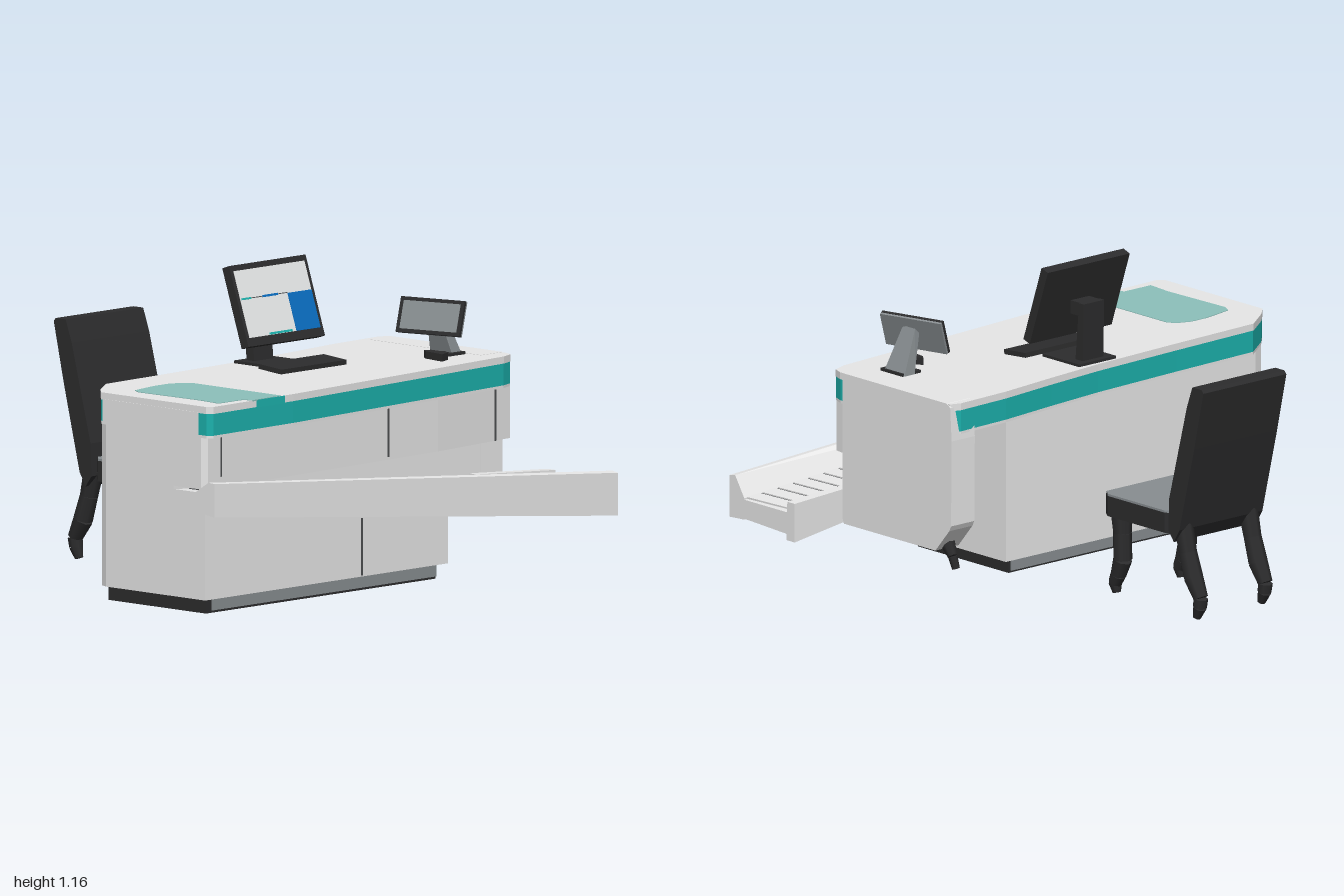
import * as THREE from 'three';
import { ConvexGeometry } from 'three/addons/geometries/ConvexGeometry.js';

const mat = (name, color) => {
  const m = new THREE.MeshStandardMaterial({ color });
  m.name = name;
  return m;
};
const lerp = THREE.MathUtils.lerp;

export function createModel() {
  const white = mat('white laminate', 0xffffff);
  const teal = mat('teal trim', 0x1cb2ad);
  const paleTeal = mat('pale teal inlay', 0x8cc0bb);
  const black = mat('black plastic', 0x2c2c2d);
  const grey = mat('grey fabric', 0x888e91);
  const line = mat('dark seam', 0x4c4e50);
  const screenMat = mat('screen', 0xf6f8f8);
  const blue = mat('blue panel', 0x0a6cbe);

  const root = new THREE.Group();
  root.name = 'receptionDesk';
  const group = (name, parent = root) => {
    const g = new THREE.Group();
    g.name = name;
    parent.add(g);
    return g;
  };
  const add = (name, geo, m, parent = root) => {
    const mesh = new THREE.Mesh(geo, m);
    mesh.name = name;
    parent.add(mesh);
    return mesh;
  };
  // Box given by its centre and size
  const box = (name, m, [x, y, z], [w, h, d], parent) => {
    const b = add(name, new THREE.BoxGeometry(w, h, d), m, parent);
    b.position.set(x, y, z);
    return b;
  };
  const shapeOf = pts => new THREE.Shape(pts.map(p => new THREE.Vector2(p[0], p[1])));
  // Plan outline [x, z] raised from y0 to y1
  const prism = (pts, y0, y1) => new THREE.ExtrudeGeometry(shapeOf(pts.map(([x, z]) => [x, -z])),
    { depth: y1 - y0, bevelEnabled: false }).rotateX(-Math.PI / 2).translate(0, y0, 0);
  // Side outline [z, y] widened from x0 to x1
  const sideSlab = (pts, x0, x1) => new THREE.ExtrudeGeometry(shapeOf(pts),
    { depth: x1 - x0, bevelEnabled: false }).rotateY(-Math.PI / 2).translate(x1, 0, 0);
  // Convex solid between two [z, y] sections
  const loft = (x0, a, x1, b) => new ConvexGeometry([
    ...a.map(([z, y]) => new THREE.Vector3(x0, y, z)),
    ...b.map(([z, y]) => new THREE.Vector3(x1, y, z))]);
  // Jointed limb through points [x, y, z, radius]
  const limb = (name, pts, m, parent) => {
    const g = group(name, parent);
    for (let i = 1; i < pts.length; i++) {
      const a = new THREE.Vector3(...pts[i - 1].slice(0, 3));
      const b = new THREE.Vector3(...pts[i].slice(0, 3));
      const d = b.clone().sub(a);
      const s = add(name + 'Segment', new THREE.CylinderGeometry(pts[i][3], pts[i - 1][3], d.length(), 7), m, g);
      s.position.copy(a).add(b).multiplyScalar(0.5);
      s.quaternion.setFromUnitVectors(new THREE.Vector3(0, 1, 0), d.normalize());
    }
  };

  // Desk top: teal edge under a white cap
  const top = group('deskTop');
  const outline = [[-0.95, 0.10], [-0.90, 0.05], [-0.79, -0.03], [-0.4, -0.045], [0, -0.065], [0.25, -0.09],
    [0.5, -0.12], [0.73, -0.13], [0.77, -0.115], [0.77, 0.48], [0.755, 0.52], [0.7, 0.54], [-0.5, 0.635],
    [-0.93, 0.648], [-0.95, 0.63]];
  const inset = outline.map(([x, z]) => [x * 0.998 - 0.0002, (z - 0.26) * 0.996 + 0.26]);
  add('underside', prism(inset, 0.67, 0.68), white, top);
  add('tealEdge', prism(inset, 0.68, 0.76), teal, top);
  add('topCap', prism(outline, 0.76, 0.786), white, top);
  box('endCover', white, [-0.949, 0.72, 0.35], [0.006, 0.085, 0.48], top);
  add('inlay', prism([[-0.86, 0.20], [-0.84, 0.165], [-0.77, 0.15], [-0.71, 0.14], [-0.64, 0.14], [-0.59, 0.16],
    [-0.565, 0.19], [-0.565, 0.636], [-0.72, 0.642], [-0.73, 0.605], [-0.86, 0.605], [-0.85, 0.5]], 0.783, 0.788),
  paleTeal, top);
  box('inlayDrop', teal, [-0.64, 0.772, 0.638], [0.18, 0.028, 0.006], top);

  // Cabinet with a niche for the tray, knee-space wall and end block
  const body = group('cabinet');
  const rear = [[-0.945, 0.12], [-0.93, 0.085], [-0.89, 0.07], [0.33, 0.07]];
  add('cabinetCore', prism([...rear, [0.33, 0.46], [-0.945, 0.46]], 0.075, 0.48), white, body);
  add('upperPanel', prism([...rear, [0.33, 0.43], [0.67, 0.43], [0.76, 0.455], [0.75, 0.522], [0.33, 0.565],
    [-0.93, 0.62], [-0.945, 0.60]], 0.48, 0.672), white, body);
  add('lowerFront', loft(-0.945, [[0.45, 0.075], [0.62, 0.075], [0.62, 0.43], [0.45, 0.43]],
    0.33, [[0.45, 0.075], [0.615, 0.075], [0.615, 0.29], [0.45, 0.29]]), white, body);
  box('kneeWall', white, [0.5, 0.355, 0.45], [0.36, 0.26, 0.022], body);
  add('endBlock', sideSlab([[-0.04, 0.222], [0.455, 0.222], [0.462, 0.24], [0.462, 0.787], [-0.10, 0.787],
    [-0.12, 0.775], [-0.128, 0.65], [-0.125, 0.33], [-0.115, 0.31]], 0.66, 0.773), white, body);
  for (const [x, y0, y1, z] of [[-0.86, 0.52, 0.67, 0.616], [0.055, 0.49, 0.67, 0.577],
    [-0.125, 0.08, 0.29, 0.617], [0.663, 0.48, 0.67, 0.53]])
    box('seam', line, [x, (y0 + y1) / 2, z + 0.001], [0.006, y1 - y0, 0.006], body);
  limb('hook', [[0.72, 0.24, -0.05, 0.028], [0.725, 0.2, -0.08, 0.018], [0.72, 0.155, -0.092, 0.015]], black, body);

  // Plinth with a light bottom panel
  const plinth = group('plinth');
  box('plinthBase', black, [-0.31, 0.048, 0.345], [1.2, 0.055, 0.49], plinth);
  box('plinthFront', grey, [-0.295, 0.052, 0.591], [1.17, 0.046, 0.006], plinth);
  box('plinthBack', grey, [-0.31, 0.05, 0.099], [1.18, 0.045, 0.006], plinth);
  box('plinthBottom', white, [-0.31, 0.02, 0.345], [1.1, 0.006, 0.4], plinth);

  // Sloping roller tray
  const tray = group('rollerTray');
  add('trayFloor', loft(-0.945, [[0.455, 0.41], [0.66, 0.41], [0.66, 0.468], [0.455, 0.468]],
    0.975, [[0.47, 0.20], [0.80, 0.215], [0.80, 0.285], [0.47, 0.285]]), white, tray);
  add('frontRail', loft(-1, [[0.72, 0.395], [0.72, 0.518], [0.69, 0.52], [0.61, 0.47], [0.61, 0.41]],
    0.975, [[0.85, 0.205], [0.85, 0.362], [0.82, 0.367], [0.77, 0.29], [0.77, 0.21]]), white, tray);
  add('backRail', loft(0.6, [[0.46, 0.25], [0.50, 0.25], [0.50, 0.36], [0.46, 0.36]],
    1, [[0.47, 0.19], [0.515, 0.19], [0.51, 0.335], [0.47, 0.335]]), white, tray);
  for (let i = 0; i < 26; i++) {
    const x = -0.86 + i * 0.07;
    const t = (x + 0.945) / 1.92;
    const z0 = lerp(0.465, 0.50, t), z1 = lerp(0.645, 0.775, t), y = lerp(0.468, 0.285, t);
    const place = (name, m, dx, dy, w, h) => box(name, m, [x + dx, y + dy, (z0 + z1) / 2], [w, h, z1 - z0], tray)
      .rotation.set(0, 0.06, -0.095, 'YXZ');
    place('roller', white, 0.035, -0.002, 0.058, 0.01);
    place('rollerGap', line, 0, 0, 0.008, 0.006);
  }

  // Monitor, tilted back on its stand
  const monitor = group('monitor');
  box('foot', black, [-0.01, 0.79, 0.05], [0.18, 0.012, 0.2], monitor);
  add('neck', sideSlab([[-0.025, 0.79], [0.015, 0.79], [-0.005, 1.01], [-0.03, 1.01]], -0.06, 0.04), black, monitor);
  box('mount', black, [-0.01, 0.985, 0.016], [0.09, 0.05, 0.06], monitor);
  const panel = group('display', monitor);
  panel.position.set(-0.01, 1.013, 0.064);
  panel.rotation.x = -0.33;
  box('bezel', black, [0, 0, 0], [0.4, 0.303, 0.036], panel);
  box('screen', screenMat, [0, 0.005, 0.018], [0.37, 0.25, 0.004], panel);
  box('bluePanel', blue, [0.122, -0.049, 0.0195], [0.125, 0.142, 0.004], panel);
  box('screenLine', line, [-0.06, 0.024, 0.0195], [0.24, 0.003, 0.003], panel);
  box('tealMark', teal, [-0.155, 0.024, 0.0195], [0.05, 0.007, 0.004], panel);
  box('blueMark', blue, [-0.03, 0.024, 0.0195], [0.08, 0.008, 0.004], panel);
  box('tealBar', teal, [-0.02, -0.115, 0.0195], [0.12, 0.008, 0.003], panel);

  // Keyboard
  const keyboard = box('keyboard', black, [-0.01, 0.799, 0.21], [0.34, 0.018, 0.115]);
  keyboard.rotation.x = 0.08;

  // Tablet turned toward the middle of the desk, with a pad beside it
  const tablet = group('tablet');
  const slate = group('slate', tablet);
  slate.position.set(0.545, 0.925, 0.325);
  slate.rotation.set(-0.33, -1.308, 0, 'YXZ');
  box('slateCase', grey, [0, 0, -0.003], [0.262, 0.13, 0.014], slate);
  box('slateBezel', black, [0, 0, 0.006], [0.264, 0.132, 0.012], slate);
  box('slateScreen', grey, [0, 0, 0.011], [0.235, 0.105, 0.005], slate);
  add('slateStand', new ConvexGeometry([[0.57, 0.95], [0.55, 0.93], [0.64, 0.787], [0.59, 0.787]].flatMap(
    ([x, y]) => [y > 0.8 ? 0.295 : 0.275, y > 0.8 ? 0.36 : 0.385].map(z => new THREE.Vector3(x, y, z)))), grey, tablet);
  box('standFoot', black, [0.6, 0.79, 0.34], [0.09, 0.012, 0.12], tablet);
  add('pad', prism([[0.45, 0.47], [0.465, 0.37], [0.48, 0.35], [0.515, 0.42], [0.5, 0.45]], 0.785, 0.813), black, tablet);

  // Chair: padded seat, leaning back and curved legs
  const chair = group('chair');
  const seat = [[-0.21, -0.33], [-0.19, -0.295], [0.17, -0.295], [0.195, -0.33], [0.195, -0.64], [0.17, -0.67],
    [-0.17, -0.67], [-0.21, -0.63]];
  add('seatBase', prism(seat, 0.305, 0.38), black, chair);
  add('seatPad', prism(seat.map(([x, z]) => [x * 0.99, (z + 0.48) * 0.99 - 0.48]), 0.38, 0.388), grey, chair);
  add('backrest', sideSlab([[-0.66, 0.32], [-0.69, 0.28], [-0.72, 0.33], [-0.80, 0.65], [-0.85, 0.87], [-0.84, 0.882],
    [-0.79, 0.882], [-0.76, 0.80], [-0.665, 0.44]], -0.21, 0.195), black, chair);
  for (const x of [-0.165, 0.15]) {
    limb('frontLeg', [[x, 0.32, -0.355, 0.042], [x, 0.24, -0.36, 0.035], [x, 0.14, -0.362, 0.036],
      [x, 0.08, -0.34, 0.03], [x, 0.045, -0.322, 0.026], [x, 0.01, -0.33, 0.016]], black, chair);
    limb('rearLeg', [[x, 0.34, -0.69, 0.038], [x, 0.24, -0.715, 0.034], [x, 0.15, -0.745, 0.037],
      [x, 0.08, -0.785, 0.028], [x, 0.045, -0.78, 0.026], [x, 0.005, -0.765, 0.016]], black, chair);
  }
  return root;
}
